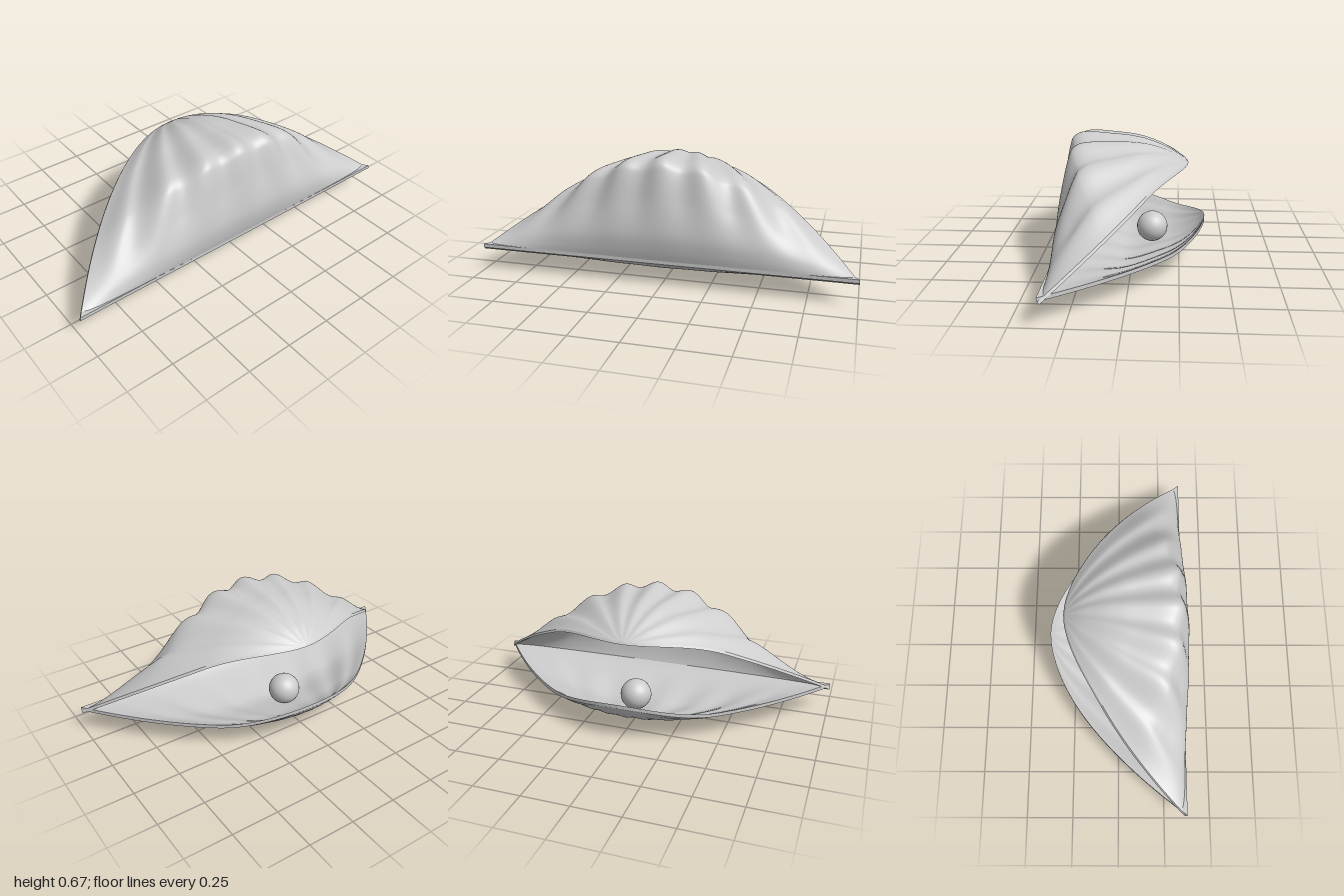
import * as THREE from 'three';

const LENGTH = 0.755;

// Centre profile: distance from the hinge, relative depth
const profile = new THREE.SplineCurve([
  [0, 0], [0.03, 0.19], [0.08, 0.4], [0.18, 0.67], [0.29, 0.93], [0.345, 1],
  [0.41, 0.94], [0.525, 0.7], [0.6, 0.54], [0.66, 0.4], [0.72, 0.21], [LENGTH, 0],
].map(([u, d]) => new THREE.Vector2(u, d)));

// Point on the valve: s runs hinge to beak, t runs side to side
function valvePoint(s, t, depth, drop) {
  const p = profile.getPoint(s);
  const u = THREE.MathUtils.clamp(p.x, 0, LENGTH);
  const width = Math.pow(Math.max(0, 1 - u / LENGTH), 0.56);
  const fade = Math.min(1, (1 - Math.abs(t)) * 5) * Math.min(1, u / 0.2);
  const ribs = 0.045 * fade * (1 - Math.cos((t / 0.29) * Math.PI * 2));
  const bend = 0.065 * Math.pow(Math.max(0, (u - 0.55) / (LENGTH - 0.55)), 2);
  return new THREE.Vector3(t * width, depth * p.y * (1 - t * t - ribs) - bend - drop, -u);
}

// Grid whose vertices follow a rule of two 0..1 parameters
function grid(cols, rows, rule) {
  const geo = new THREE.PlaneGeometry(1, 1, cols, rows);
  const uv = geo.attributes.uv, pos = geo.attributes.position;
  for (let i = 0; i < pos.count; i++) {
    const p = rule(uv.getX(i), uv.getY(i));
    pos.setXYZ(i, p.x, p.y, p.z);
  }
  geo.computeVertexNormals();
  return geo;
}

function makeValve(name, depth, thickness, material) {
  const valve = new THREE.Group();
  valve.name = name;
  const add = (part, geo) => {
    const mesh = new THREE.Mesh(geo, material);
    mesh.name = part;
    valve.add(mesh);
  };
  // Ribbed outer and inner skins
  add('outerShell', grid(112, 66, (a, b) => valvePoint(b, a * 2 - 1, depth, 0)));
  add('innerShell', grid(112, 66, (a, b) => valvePoint(b, 1 - a * 2, depth, thickness)));
  // Rim walls joining the skins
  for (const side of [-1, 1]) {
    add(side > 0 ? 'leftRim' : 'rightRim',
      grid(66, 1, (a, b) => valvePoint(side > 0 ? a : 1 - a, side, depth, thickness * (1 - b))));
  }
  add('hingeEdge', grid(8, 1, (a, b) => valvePoint(0, a * 2 - 1, depth, thickness * (1 - b))));
  return valve;
}

export function createModel() {
  const model = new THREE.Group();
  model.name = 'openClam';
  const shell = new THREE.MeshStandardMaterial({ color: 0xcccccc, side: THREE.DoubleSide });

  // Shallow lower valve, mirrored to face upward
  const lower = makeValve('lowerValve', 0.125, 0.02, shell);
  lower.scale.y = -1;
  lower.position.set(0, 0.125, 0.367);
  model.add(lower);

  // Deep upper valve, swung open about the hinge
  const upper = makeValve('upperValve', 0.4, 0.015, shell);
  upper.rotation.x = THREE.MathUtils.degToRad(36.2);
  upper.position.set(0, 0.126, 0.362);
  model.add(upper);

  // Pearl resting inside
  const pearl = new THREE.Mesh(
    new THREE.SphereGeometry(0.085, 24, 16),
    new THREE.MeshStandardMaterial({ color: 0xcccccc }));
  pearl.name = 'pearl';
  pearl.position.set(0, 0.14, -0.1);
  model.add(pearl);

  return model;
}
